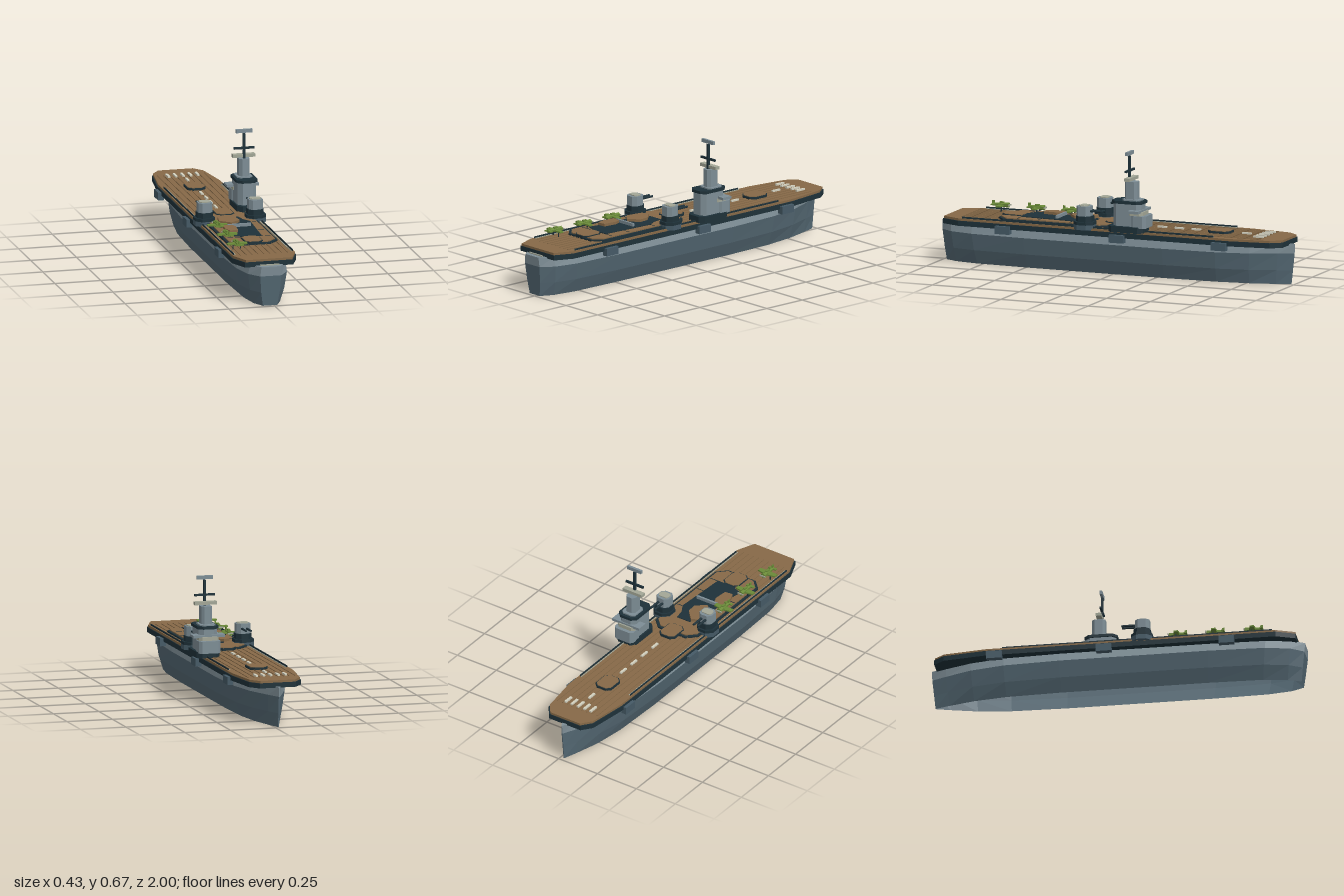
import * as THREE from 'three';

const mat = (name, color, side = THREE.FrontSide) => {
  const m = new THREE.MeshStandardMaterial({ color, side });
  m.name = name;
  m.flatShading = true;
  return m;
};

export function createModel() {
  const M = {
    hull: mat('hull blue grey', 0x546873, THREE.DoubleSide),
    grey: mat('light grey', 0x7d8d95, THREE.DoubleSide),
    slate: mat('mid slate', 0x455a66),
    dark: mat('dark slate', 0x1e3139),
    wood: mat('deck wood', 0x866947),
    tan: mat('pale tan', 0xa3a797),
    white: mat('deck marking', 0xd3d1bf),
    green: mat('aircraft green', 0x6a8a38),
  };
  const ship = new THREE.Group();
  ship.name = 'carrier';
  const CX = -0.02; // ship centreline

  const add = (name, geo, material, x = 0, y = 0, z = 0, parent = ship) => {
    const m = new THREE.Mesh(geo, material);
    m.name = name;
    m.position.set(x, y, z);
    parent.add(m);
    return m;
  };
  const box = (name, material, x, y, z, w, h, d, parent) =>
    add(name, new THREE.BoxGeometry(w, h, d), material, x, y, z, parent);
  // Vertical prism from an (x, z) outline, bottom at y
  const prism = (name, material, pts, y, h, x = 0, z = 0, parent) => {
    const shape = new THREE.Shape(pts.map(([px, pz]) => new THREE.Vector2(px, -pz)));
    const geo = new THREE.ExtrudeGeometry(shape, { depth: h, bevelEnabled: false });
    geo.rotateX(-Math.PI / 2);
    return add(name, geo, material, x, y, z, parent);
  };
  // Rectangle outline with cut corners
  const cut = (w, d, c) => {
    const a = w / 2, b = d / 2;
    return [[-a + c, b], [a - c, b], [a, b - c], [a, -b + c],
      [a - c, -b], [-a + c, -b], [-a, -b + c], [-a, b - c]];
  };

  // Hull: rows of (y, half width), stations of (z, fullness); open underneath
  const rows = [[0, 0.10], [0.075, 0.13], [0.165, 0.147], [0.215, 0.134]];
  const stations = [[1, 0.39], [0.93, 0.72], [0.8, 0.92], [0.5, 1], [-0.3, 1],
    [-0.6, 0.9], [-0.78, 0.65], [-0.92, 0.27], [-1, 0.02]];
  const ring = ([y, hw]) => {
    const k = 0.98 + 0.02 * Math.min(1, y / 0.19);
    const right = stations.map(([z, f]) => [CX + hw * f, y, z * k]);
    const left = stations.map(([z, f]) => [CX - hw * f, y, z * k]).reverse();
    return [...right, ...left];
  };
  const strake = (name, material, from, to) => {
    const pos = [];
    for (let r = from; r < to; r++) {
      const a = ring(rows[r]), b = ring(rows[r + 1]);
      a.forEach((p, i) => {
        const j = (i + 1) % a.length;
        pos.push(...p, ...a[j], ...b[j], ...p, ...b[j], ...b[i]);
      });
    }
    const g = new THREE.BufferGeometry();
    g.setAttribute('position', new THREE.Float32BufferAttribute(pos, 3));
    g.computeVertexNormals();
    add(name, g, material);
  };
  strake('lowerHull', M.hull, 0, 2);
  strake('upperHull', M.grey, 2, 3);
  // Small open decks past the flight deck ends
  prism('sternDeck', M.grey, [[-0.052, 1], [0.052, 1], [0.096, 0.93], [-0.096, 0.93]], 0.211, 0.005, CX);
  prism('bowDeck', M.grey, [[-0.003, -1], [0.003, -1], [0.036, -0.92], [-0.036, -0.92]].reverse(), 0.211, 0.005, CX);
  box('sternRail', M.tan, CX, 0.218, 0.972, 0.104, 0.008, 0.008);

  // Flight deck: dark edge with a planked wooden top
  const deckHalf = [[0.132, 0.962], [0.174, 0.86], [0.174, -0.69], [0.143, -0.915], [0.1, -0.972]];
  const deckOutline = (inset) => {
    const r = deckHalf.map(([x, z]) => [x - inset, z - Math.sign(z) * inset * 0.6]);
    return [...r, ...r.map(([x, z]) => [-x, z]).reverse()];
  };
  prism('deckEdge', M.dark, deckOutline(0), 0.21, 0.027, CX);
  prism('flightDeck', M.wood, deckOutline(0.005), 0.235, 0.014, CX);
  for (let i = -4; i <= 4; i++) {
    box('plankRidge', M.wood, CX + i * 0.032, 0.25, 0, 0.003, 0.005, 1.72);
  }
  for (const s of [-1, 1]) {
    box('deckCoaming', M.dark, CX + s * 0.161, 0.253, 0.12, 0.003, 0.011, 1.44);
    box('deckEdgeLine', M.tan, CX + s * 0.153, 0.25, 0.12, 0.004, 0.004, 1.44);
  }

  // Deck markings
  for (const i of [0, 3, 4, 5, 6]) {
    box('centreDash', M.white, CX, 0.2545, -0.725 + i * 0.097, 0.012, 0.009, 0.052);
  }
  for (let i = -2; i <= 2; i++) {
    box('bowStripe', M.white, CX + i * 0.04, 0.2555, -0.825, 0.013, 0.009, 0.056);
  }

  // Raised midships platform with cross seams
  prism('platformEdge', M.dark, cut(0.275, 0.65, 0.05), 0.247, 0.011, CX, 0.337);
  prism('platform', M.wood, cut(0.25, 0.625, 0.045), 0.25, 0.0135, CX, 0.337);
  for (const z of [0.24, 0.42, 0.54]) {
    box('platformSeam', M.dark, CX, 0.2625, z, 0.24, 0.004, 0.004);
  }

  // Aircraft lifts
  for (const [z, y] of [[-0.575, 0.248], [0.013, 0.254], [0.603, 0.254]]) {
    prism('liftFrame', M.dark, cut(0.1, 0.125, 0.022), y, 0.013, CX, z);
    prism('liftTop', M.wood, cut(0.09, 0.115, 0.02), y + 0.002, 0.014, CX, z);
  }

  // Dark deck opening, loose plates around it and a cross beam
  prism('deckOpening', M.dark, [[-0.05, 0.135], [0.03, 0.135], [0.04, 0.19], [0.068, 0.24], [0.05, 0.54],
    [-0.04, 0.54], [-0.11, 0.515], [-0.085, 0.37], [-0.1, 0.25]], 0.262, 0.005);
  prism('loosePlate', M.wood, [[-0.09, 0.16], [-0.055, 0.14], [0.0, 0.2], [0.005, 0.255],
    [-0.05, 0.3], [-0.105, 0.25]], 0.268, 0.014);
  prism('loosePlate', M.wood, [[-0.11, 0.345], [-0.065, 0.335], [-0.048, 0.38], [-0.055, 0.455],
    [-0.1, 0.46], [-0.115, 0.42]], 0.268, 0.014);
  box('crossBeam', M.grey, -0.02, 0.276, 0.34, 0.13, 0.016, 0.012);

  // Side sponsons
  for (const z of [-0.64, -0.055, 0.6]) {
    for (const s of [-1, 1]) {
      box('sponson', M.slate, CX + s * 0.176, 0.206, z, 0.032, 0.042, 0.082);
    }
  }

  // Twin gun turrets, aimed toward the bow
  for (const s of [-1, 1]) {
    const t = new THREE.Group();
    t.name = 'turret';
    t.position.set(CX + s * 0.138, 0, 0.145);
    ship.add(t);
    prism('turretSponson', M.slate, cut(0.105, 0.112, 0.03), 0.24, 0.026, s * 0.002, 0, t);
    prism('turretBase', M.dark, cut(0.105, 0.112, 0.03), 0.266, 0.016, s * 0.002, 0, t);
    prism('turretRing', M.dark, cut(0.086, 0.09, 0.024), 0.282, 0.029, 0, 0, t);
    prism('turretHouse', M.grey, cut(0.076, 0.078, 0.018), 0.31, 0.053, 0, 0.002, t);
    prism('turretRoof', M.tan, cut(0.06, 0.045, 0.01), 0.362, 0.006, 0, 0.002, t);
    for (const x of [-0.013, 0.013]) {
      const barrel = add('gunBarrel', new THREE.CylinderGeometry(0.006, 0.007, 0.08, 6), M.dark, x, 0.338, -0.07, t);
      barrel.rotation.x = -Math.PI / 2;
    }
  }

  // Island superstructure
  const island = new THREE.Group();
  island.name = 'island';
  island.position.set(0.128, 0, 0);
  ship.add(island);
  prism('islandBase', M.dark, cut(0.125, 0.2, 0.025), 0.247, 0.033, 0.003, -0.11, island);
  prism('islandBody', M.grey, cut(0.1, 0.16, 0.022), 0.28, 0.12, 0, -0.115, island);
  prism('islandRearHouse', M.grey, cut(0.118, 0.085, 0.015), 0.275, 0.065, 0.001, -0.185, island);
  prism('islandBand', M.tan, cut(0.108, 0.085, 0.015), 0.34, 0.02, 0, -0.165, island);
  prism('bridgeRoof', M.dark, cut(0.115, 0.175, 0.025), 0.4, 0.015, 0, -0.115, island);
  prism('upperBridge', M.grey, cut(0.084, 0.1, 0.015), 0.415, 0.007, 0, -0.135, island);
  box('bridgeWing', M.grey, 0, 0.363, -0.17, 0.175, 0.014, 0.06, island);
  prism('tower', M.grey, cut(0.058, 0.072, 0.014), 0.42, 0.096, 0, -0.13, island);
  box('towerYard', M.tan, 0, 0.53, -0.125, 0.122, 0.017, 0.03, island);
  box('mast', M.dark, 0, 0.583, -0.115, 0.012, 0.136, 0.012, island);
  box('mastYard', M.dark, 0, 0.572, -0.115, 0.112, 0.011, 0.011, island);
  box('radar', M.grey, 0, 0.665, -0.115, 0.088, 0.019, 0.014, island);

  // Parked aircraft, noses toward the bow
  for (const z of [0.735, 0.53, 0.33]) {
    const p = new THREE.Group();
    p.name = 'aircraft';
    p.position.set(-0.135, 0.283, z);
    ship.add(p);
    const body = add('fuselage', new THREE.CylinderGeometry(0.008, 0.014, 0.095, 6), M.green, 0, 0.002, 0.002, p);
    body.rotation.x = Math.PI / 2;
    prism('wing', M.green, [[-0.053, 0.014], [0.053, 0.014], [0.053, -0.01], [0, -0.02], [-0.053, -0.01]],
      -0.005, 0.008, 0, -0.004, p);
    box('tailplane', M.green, 0, 0.002, 0.043, 0.046, 0.006, 0.016, p);
    box('tailFin', M.green, 0, 0.012, 0.043, 0.006, 0.022, 0.014, p);
    box('canopy', M.green, 0, 0.014, -0.004, 0.012, 0.009, 0.024, p);
    box('propeller', M.tan, 0, 0.002, -0.049, 0.036, 0.007, 0.005, p);
    for (const x of [-0.02, 0.02]) box('landingGear', M.dark, x, -0.018, -0.008, 0.005, 0.03, 0.006, p);
  }

  return ship;
}
